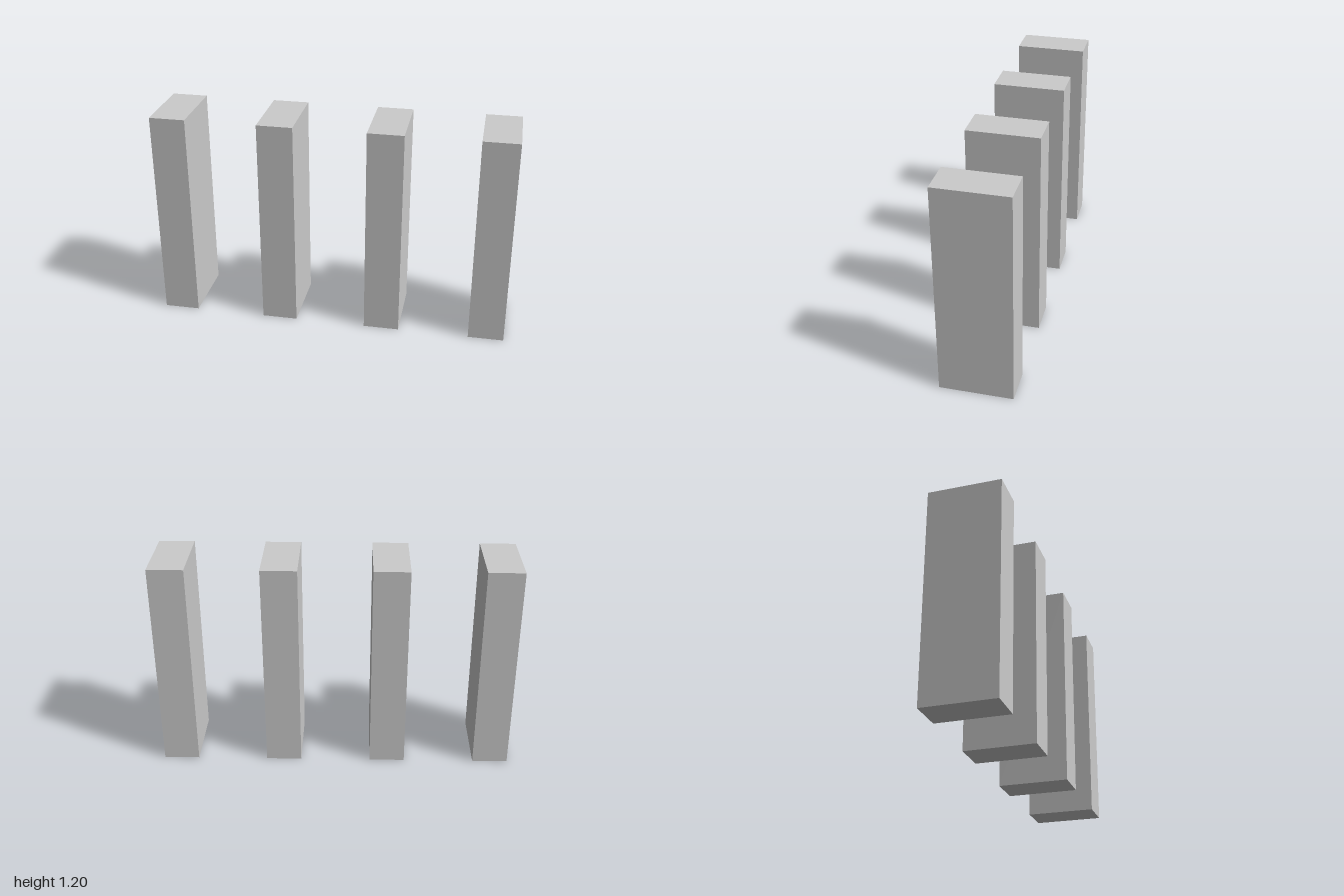
import * as THREE from 'three';

export function createModel() {
  const model = new THREE.Group();
  model.name = 'pillarRow';

  const width = 0.2, height = 1.2, depth = 0.4;
  const count = 4, spacing = 0.6;
  const geometry = new THREE.BoxGeometry(width, height, depth);
  const material = new THREE.MeshStandardMaterial({ color: 0xcccccc, flatShading: true });

  // Evenly spaced upright slabs, centred on x = 0
  for (let i = 0; i < count; i++) {
    const pillar = new THREE.Mesh(geometry, material);
    pillar.name = `pillar${i + 1}`;
    pillar.position.set((i - (count - 1) / 2) * spacing, height / 2, 0);
    model.add(pillar);
  }
  return model;
}
